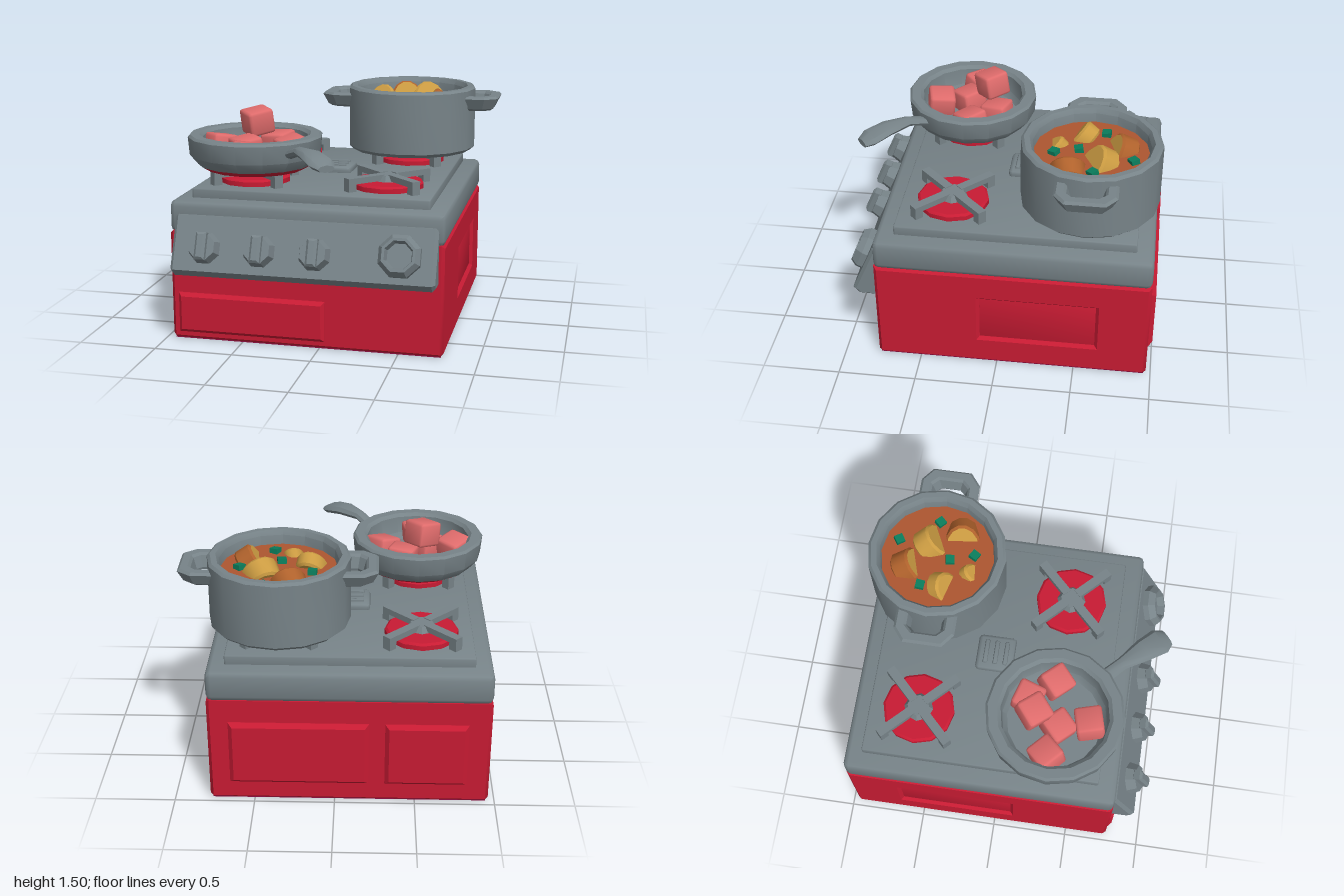
import * as THREE from 'three';
import { toCreasedNormals } from 'three/addons/utils/BufferGeometryUtils.js';
import { RoundedBoxGeometry } from 'three/addons/geometries/RoundedBoxGeometry.js';

const material = (name, color) => Object.assign(new THREE.MeshStandardMaterial({ color }), { name });

export function createModel() {
  const metal = material('grey metal', 0x778388);
  const red = material('red enamel', 0xc81b33);
  const maroon = material('maroon underside', 0x8e0f42);
  const meat = material('pink meat', 0xe06c6c);
  const soup = material('orange soup', 0xad5630);
  const flesh = material('potato flesh', 0xcc9c42);
  const skin = material('potato skin', 0xb0622c);
  const green = material('green herb', 0x0b7d5c);

  const root = new THREE.Group();
  root.name = 'stove';

  function add(name, geometry, mat, parent = root, crease = 0.6) {
    const mesh = new THREE.Mesh(toCreasedNormals(geometry, crease), mat);
    mesh.name = name;
    parent.add(mesh);
    return mesh;
  }
  function group(name, x, y, z, parent = root) {
    const g = new THREE.Group();
    g.name = name;
    g.position.set(x, y, z);
    parent.add(g);
    return g;
  }
  // Box with rounded edges, given by its limits
  function block(name, [x0, x1], [y0, y1], [z0, z1], r, mat, parent = root) {
    const m = add(name, new RoundedBoxGeometry(x1 - x0, y1 - y0, z1 - z0, 1, r), mat, parent, 0.9);
    m.position.set((x0 + x1) / 2, (y0 + y1) / 2, (z0 + z1) / 2);
  }
  const vectors = pts => pts.map(([a, b]) => new THREE.Vector2(a, b));
  // Bevelled extrusion of an outline with an optional hole, from z = 0 to depth
  function extrude(pts, depth, bevel, hole) {
    const shape = new THREE.Shape(vectors(pts));
    if (hole) shape.holes.push(new THREE.Path(vectors(hole)));
    return new THREE.ExtrudeGeometry(shape, {
      depth: depth - 2 * bevel, bevelThickness: bevel, bevelSize: bevel, bevelOffset: -bevel, bevelSegments: 1,
    }).translate(0, 0, bevel);
  }
  // Box with flat chamfers on its front and back edges
  const plate = ([x0, x1], [y0, y1], [z0, z1], bevel) =>
    extrude([[x0, y0], [x1, y0], [x1, y1], [x0, y1]], z1 - z0, bevel).translate(0, 0, z0);
  // Profile of [z, y] points swept across x
  const flip = pts => pts && pts.map(([z, y]) => [-z, y]);
  const sweepX = (pts, x0, x1, bevel, hole) =>
    extrude(flip(pts), x1 - x0, bevel, flip(hole)).rotateY(Math.PI / 2).translate(x0, 0, 0);
  const lathe = (pts, sides) => new THREE.LatheGeometry(vectors(pts), sides);

  // Red cabinet with a recessed panel on both sides
  add('cabinet', sweepX(
    [[-0.95, 0], [0.76, 0], [0.78, 0.02], [0.78, 0.71], [-0.97, 0.71], [-0.97, 0.02]], -0.96, 0.78, 0.02,
    [[0.11, 0.2], [-0.63, 0.2], [-0.63, 0.51], [0.11, 0.51]]), red);
  block('sidePanels', [-0.938, 0.758], [0.15, 0.56], [-0.68, 0.16], 0.005, red);
  const underside = add('underside', new THREE.BoxGeometry(1.71, 0.008, 1.72), maroon);
  underside.position.set(-0.09, 0.003, -0.095);
  add('drawer', plate([-0.91, 0.04], [0.05, 0.31], [0.74, 0.81], 0.022), red);
  add('backPanelNarrow', plate([-0.82, -0.31], [0.13, 0.56], [-1, -0.93], 0.025), red);
  add('backPanelWide', plate([-0.21, 0.65], [0.13, 0.56], [-1, -0.93], 0.025), red);

  // Cooktop
  block('cooktop', [-0.96, 0.78], [0.7, 0.9], [-0.97, 0.78], 0.035, metal);
  block('cooktopTier', [-0.85, 0.67], [0.86, 0.96], [-0.86, 0.66], 0.01, metal);

  // Sloping control panel and knobs
  add('controlPanel', sweepX(
    [[0.72, 0.82], [0.79, 0.82], [0.93, 0.5], [0.89, 0.455], [0.72, 0.45]], -0.915, 0.745, 0.02), metal, root, 0.3);
  const slope = -Math.atan2(0.14, 0.32);
  for (const x of [-0.7, -0.35, 0]) {
    const knob = group('knob', x, 0.635, 0.87);
    knob.rotation.x = slope;
    add('knobBase', new THREE.CylinderGeometry(0.085, 0.106, 0.07, 8).rotateY(Math.PI / 8).rotateX(Math.PI / 2)
      .translate(0, 0, 0.03), metal, knob, 0.3);
    add('knobGrip', plate([-0.033, 0.033], [-0.085, 0.085], [0.04, 0.11], 0.015), metal, knob);
  }
  const dial = group('ovenDial', 0.525, 0.655, 0.865);
  dial.rotation.x = slope;
  add('dialRing', lathe([[0.138, -0.02], [0.138, 0.035], [0.11, 0.075], [0.092, 0.075], [0.08, 0.03], [0, 0.03]], 8)
    .rotateY(Math.PI / 8).rotateX(Math.PI / 2), metal, dial, 0.3);

  // Four burners with crossed grates
  for (const [x, z] of [[-0.53, -0.54], [0.345, -0.54], [-0.53, 0.33], [0.345, 0.33]]) {
    const burner = group('burner', x, 0.96, z);
    add('burnerDisc', lathe([[0.23, -0.02], [0.23, 0.03], [0.215, 0.042], [0, 0.042]], 12), red, burner);
    add('burnerCap', new THREE.CylinderGeometry(0.07, 0.095, 0.04, 8).translate(0, 0.06, 0), metal, burner);
    for (let i = 0; i < 4; i++) {
      const arm = group('grateArm', 0, 0, 0, burner);
      arm.rotation.y = Math.PI / 4 + i * Math.PI / 2;
      add('grateBar', new THREE.BoxGeometry(0.265, 0.038, 0.058).translate(0.178, 0.066, 0), metal, arm);
      add('grateLeg', new THREE.BoxGeometry(0.055, 0.07, 0.058).translate(0.283, 0.03, 0), metal, arm);
    }
  }

  // Vent between the burners
  block('vent', [-0.21, 0.03], [0.94, 1.0], [-0.23, 0.015], 0.025, metal);
  for (const z of [-0.17, -0.105, -0.04]) block('ventSlat', [-0.17, -0.01], [0.99, 1.012], [z - 0.015, z + 0.015], 0.008, metal);

  // Frying pan with an enamelled base
  const pan = group('fryingPan', -0.525, 0, 0.33);
  add('panBody', lathe([[0.372, 1.076], [0.425, 1.14], [0.435, 1.255], [0.42, 1.27],
    [0.362, 1.27], [0.34, 1.25], [0.33, 1.14], [0.3, 1.1], [0, 1.1]], 16), metal, pan);
  add('panBase', lathe([[0, 1.045], [0.32, 1.045], [0.372, 1.076]], 16), red, pan);

  // Paddle handle: distance, height, half width, half thickness
  const rows = [[0, 1.19, 0.045, 0.03], [0.14, 1.235, 0.042, 0.03], [0.3, 1.235, 0.075, 0.037],
    [0.43, 1.21, 0.088, 0.036], [0.49, 1.19, 0.055, 0.022]];
  const handle = new THREE.CylinderGeometry(1, 1, 1, 8, 4).rotateX(Math.PI / 2);
  const p = handle.attributes.position;
  for (let i = 0; i < p.count; i++) {
    const [d, y, w, h] = rows[Math.round((p.getZ(i) + 0.5) * 4)];
    p.setXYZ(i, p.getX(i) * w, y + p.getY(i) * h, d);
  }
  add('panHandle', handle.rotateY(0.72).translate(0.3, 0, 0.27), metal, pan);

  // Meat cubes: x, y, z, turn, tilt
  for (const [x, y, z, turn, tilt] of [
    [-0.55, 1.325, 0.2, 0.7, 0.1], [-0.42, 1.17, 0.15, -0.3, 0.1], [-0.77, 1.17, 0.31, 0.8, -0.1],
    [-0.58, 1.165, 0.36, 0.75, 0.08], [-0.29, 1.165, 0.31, 0.75, 0.12], [-0.53, 1.165, 0.55, 0.25, -0.1]]) {
    const cube = add('meatCube', new RoundedBoxGeometry(0.175, 0.16, 0.175, 1, 0.02), meat, root, 0.9);
    cube.position.set(x, y, z);
    cube.rotation.set(tilt, turn, tilt);
  }

  // Stew pot
  const pot = group('pot', 0.347, 0, -0.54);
  add('potBody', lathe([[0, 1.05], [0.41, 1.05], [0.438, 1.075], [0.438, 1.475], [0.42, 1.49], [0.385, 1.49],
    [0.365, 1.46], [0.358, 1.36], [0, 1.36]], 16), metal, pot);
  add('soup', new THREE.CylinderGeometry(0.361, 0.361, 0.03, 16).translate(0, 1.385, 0), soup, pot);
  const loop = (a, b, c, s) => [[a, -s], [b, -s], [c, -s * 0.65], [c, s * 0.65], [b, s], [a, s]];
  for (const [name, turn] of [['potHandleLeft', 0], ['potHandleRight', Math.PI]]) {
    const g = extrude(loop(-0.06, 0.09, 0.175, 0.19), 0.1, 0.015, loop(-0.02, 0.06, 0.1, 0.115)).rotateX(-Math.PI / 2);
    const q = g.attributes.position;
    for (let i = 0; i < q.count; i++) { // narrow towards the underside
      const k = 0.75 + 0.25 * Math.min(1, q.getY(i) / 0.06);
      q.setX(i, q.getX(i) * k);
      q.setZ(i, q.getZ(i) * k);
    }
    add(name, g.translate(0.43, 1.34, 0).rotateY(turn), metal, pot, 0.4);
  }

  // Half-round potato pieces: x, y, z, half length, height, thickness, turn, tilt, rim
  for (const [x, y, z, a, b, t, turn, tilt, rim] of [
    [0.27, 1.385, -0.735, 0.115, 0.15, 0.13, 0.3, 1.05, skin], [0.44, 1.4, -0.615, 0.115, 0.15, 0.13, 0.45, 0.95, flesh],
    [0.16, 1.41, -0.5, 0.095, 0.12, 0.1, -0.25, 0.95, flesh], [0.54, 1.385, -0.41, 0.115, 0.15, 0.12, -1.45, 1.0, skin],
    [0.27, 1.385, -0.335, 0.065, 0.09, 0.08, 0.1, 0.7, flesh]]) {
    const outline = [];
    for (let i = 0; i <= 7; i++) {
      const angle = i / 7 * Math.PI;
      outline.push([Math.cos(angle) * a, Math.sin(angle) * b - b * 0.4]);
    }
    const piece = add('potatoPiece', extrude(outline, t, 0.014).translate(0, 0, -t / 2).rotateX(-Math.PI / 2),
      [flesh, rim], root, 0.7);
    piece.position.set(x, y, z);
    piece.rotation.set(tilt, turn, 0, 'YXZ');
  }
  // Herb cubes
  [[0.43, -0.8], [0.14, -0.62], [0.585, -0.56], [0.335, -0.46], [0.385, -0.31]].forEach(([x, z], i) => {
    const herb = add('herb', new THREE.BoxGeometry(0.055, 0.04, 0.055), green);
    herb.position.set(x, 1.408, z);
    herb.rotation.set(0.15, 0.6 + i * 0.9, 0);
  });

  return root;
}
